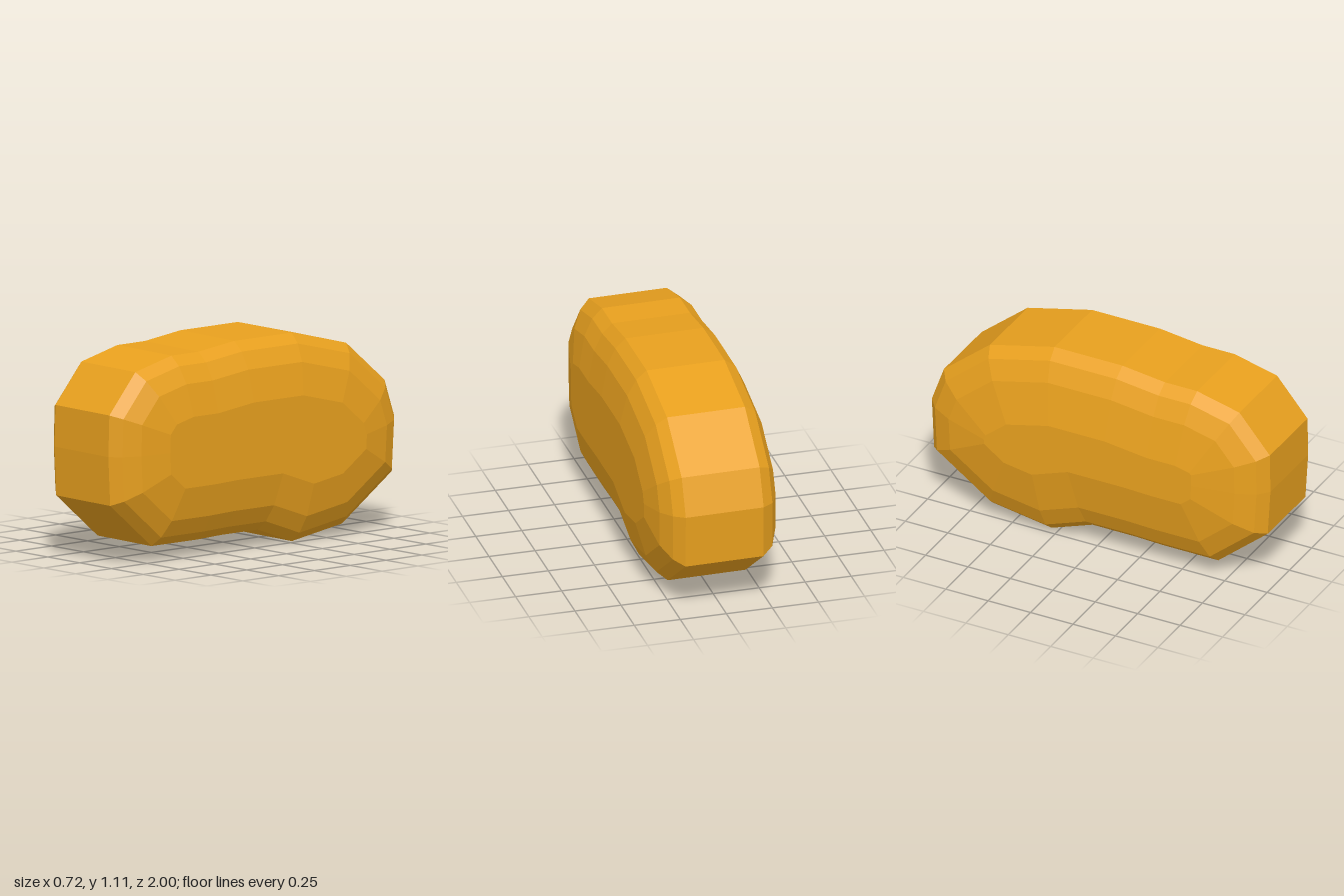
import * as THREE from 'three';

// Side outline as [z, y], from the front over the top to the back and round below
const OUTLINE = [
  [0.99, 0.81], [0.81, 1.02], [0.56, 1.08], [0.37, 1.08], [0.12, 1.11], [-0.28, 1.11],
  [-0.66, 1.015], [-0.93, 0.79], [-1, 0.59], [-0.985, 0.3], [-0.64, 0.06], [-0.29, 0.005],
  [-0.05, 0.092], [0.2, 0.092], [0.37, 0.086], [0.69, 0.086], [0.98, 0.33], [0.995, 0.59],
].map(([z, y]) => new THREE.Vector2(-z, y));

// Rings across the width as [x, inset from the outline]
const RINGS = [
  [0.358, 0.31], [0.322, 0.14], [0.275, 0.05], [0.22, 0],
  [-0.203, 0], [-0.265, 0.05], [-0.313, 0.155], [-0.36, 0.385],
];

// Moves every edge of the outline inward by d, keeping mitred corners
function inset(points, d) {
  const n = points.length;
  const normal = (a, b) => new THREE.Vector2(b.y - a.y, a.x - b.x).normalize();
  return points.map((p, i) => {
    const n1 = normal(points[(i + n - 1) % n], p);
    const n2 = normal(p, points[(i + 1) % n]);
    const mitre = n1.clone().add(n2).divideScalar(1 + n1.dot(n2));
    return p.clone().addScaledVector(mitre, d);
  });
}

function bodyGeometry() {
  const n = OUTLINE.length;
  const positions = [];
  const indices = [];
  const rings = RINGS.map(([x, d]) => {
    const ring = inset(OUTLINE, d);
    ring.forEach((p) => positions.push(x, p.y, -p.x));
    return ring;
  });

  // Rounded rim and broad middle band
  for (let r = 0; r < rings.length - 1; r++) {
    for (let j = 0; j < n; j++) {
      const k = (j + 1) % n;
      const a = r * n + j, b = r * n + k, c = b + n, d = a + n;
      indices.push(a, b, c, a, c, d);
    }
  }

  // Flat side faces
  for (const [r, side] of [[0, 1], [rings.length - 1, -1]]) {
    const ring = rings[r];
    for (const [a, b, c] of THREE.ShapeUtils.triangulateShape(ring, [])) {
      const turn = ring[b].clone().sub(ring[a]).cross(ring[c].clone().sub(ring[a]));
      const tri = turn * side > 0 ? [a, b, c] : [a, c, b];
      indices.push(...tri.map((i) => r * n + i));
    }
  }

  const geometry = new THREE.BufferGeometry();
  geometry.setAttribute('position', new THREE.Float32BufferAttribute(positions, 3));
  geometry.setIndex(indices);
  // Slight sideways lean about the centre
  geometry.translate(0, -0.556, 0).rotateZ(-0.01).translate(0, 0.558, 0);
  const flat = geometry.toNonIndexed();
  flat.computeVertexNormals();
  return flat;
}

export function createModel() {
  const group = new THREE.Group();
  group.name = 'bean';
  const material = new THREE.MeshStandardMaterial({ color: 0xe8a01e, flatShading: true });
  const body = new THREE.Mesh(bodyGeometry(), material);
  body.name = 'beanBody';
  group.add(body);
  return group;
}
